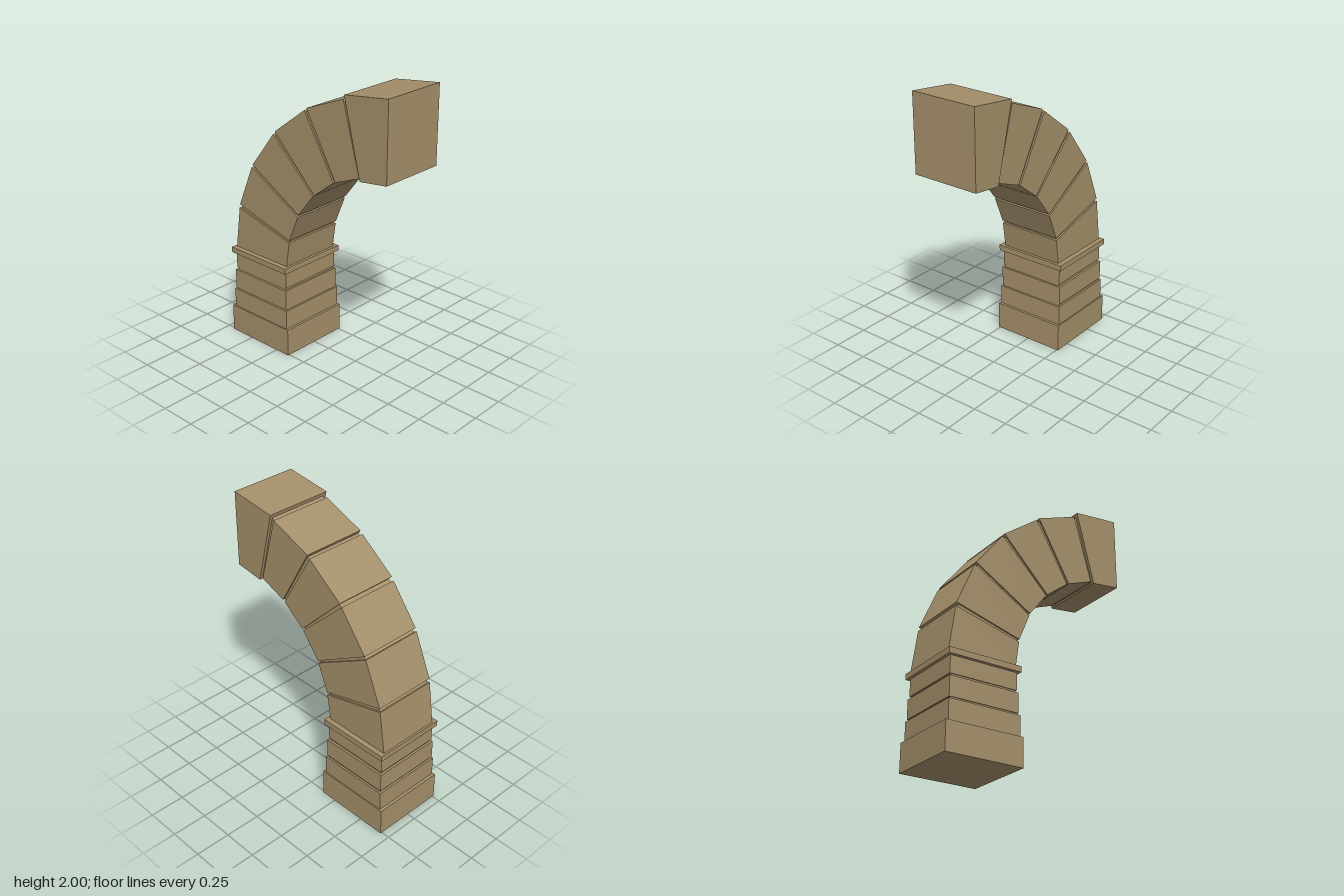
import * as THREE from 'three';

export function createModel() {
  const group = new THREE.Group();
  const stone = new THREE.MeshStandardMaterial({ color: 0xa48f6a });
  stone.name = 'sandstone';

  function add(name, geometry) {
    const mesh = new THREE.Mesh(geometry, stone);
    mesh.name = name;
    group.add(mesh);
    return mesh;
  }

  // Rectangular pier block: x range, y range, half depth
  function block(name, x0, x1, y0, y1, halfZ) {
    add(name, new THREE.BoxGeometry(x1 - x0, y1 - y0, halfZ * 2))
      .position.set((x0 + x1) / 2, (y0 + y1) / 2, 0);
  }

  // Four-cornered stone seen from the front, extruded evenly about z = 0
  function wedge(name, corners, halfZ) {
    const shape = new THREE.Shape(corners.map(([x, y]) => new THREE.Vector2(x, y)));
    const geometry = new THREE.ExtrudeGeometry(shape, { depth: halfZ * 2, bevelEnabled: false });
    add(name, geometry.translate(0, 0, -halfZ));
  }

  // Pier: base, three tapering courses with recessed joints, and the projecting impost
  block('pierBase', -0.688, -0.138, 0, 0.196, 0.262);
  block('pierCourse1', -0.667, -0.156, 0.196, 0.334, 0.254);
  block('pierJoint1', -0.652, -0.169, 0.334, 0.347, 0.241);
  block('pierCourse2', -0.661, -0.165, 0.347, 0.482, 0.247);
  block('pierJoint2', -0.645, -0.178, 0.482, 0.498, 0.232);
  block('pierCourse3', -0.655, -0.171, 0.498, 0.616, 0.238);
  block('impost', -0.676, -0.152, 0.616, 0.656, 0.262);

  // Arch stones: outer start, outer end, inner end, inner start
  const stones = [
    [[-0.662, 0.656], [-0.62, 0.958], [-0.146, 0.838], [-0.172, 0.656]],
    [[-0.615, 0.984], [-0.487, 1.287], [-0.063, 1.048], [-0.143, 0.856]],
    [[-0.477, 1.307], [-0.275, 1.567], [0.075, 1.233], [-0.058, 1.062]],
    [[-0.26, 1.588], [0.005, 1.787], [0.25, 1.369], [0.084, 1.24]],
    [[0.024, 1.805], [0.328, 1.925], [0.46, 1.454], [0.265, 1.377]],
    [[0.345, 1.957], [0.685, 2], [0.685, 1.468], [0.475, 1.441]],
  ];
  stones.forEach((corners, i) => {
    const isKeystone = i === stones.length - 1;
    wedge(isKeystone ? 'halfKeystone' : `archStone${i + 1}`, corners, isKeystone ? 0.238 : 0.227);
  });

  // Recessed mortar filling each gap between neighbouring arch stones
  const mix = (a, b, t) => [a[0] + (b[0] - a[0]) * t, a[1] + (b[1] - a[1]) * t];
  for (let i = 0; i < stones.length - 1; i++) {
    const [, outerA, innerA] = stones[i];
    const [outerB, , , innerB] = stones[i + 1];
    wedge(`archJoint${i + 1}`, [
      mix(outerA, innerA, 0.025), mix(outerB, innerB, 0.05),
      mix(innerB, outerB, 0.025), mix(innerA, outerA, 0.025),
    ], 0.216);
  }

  return group;
}
